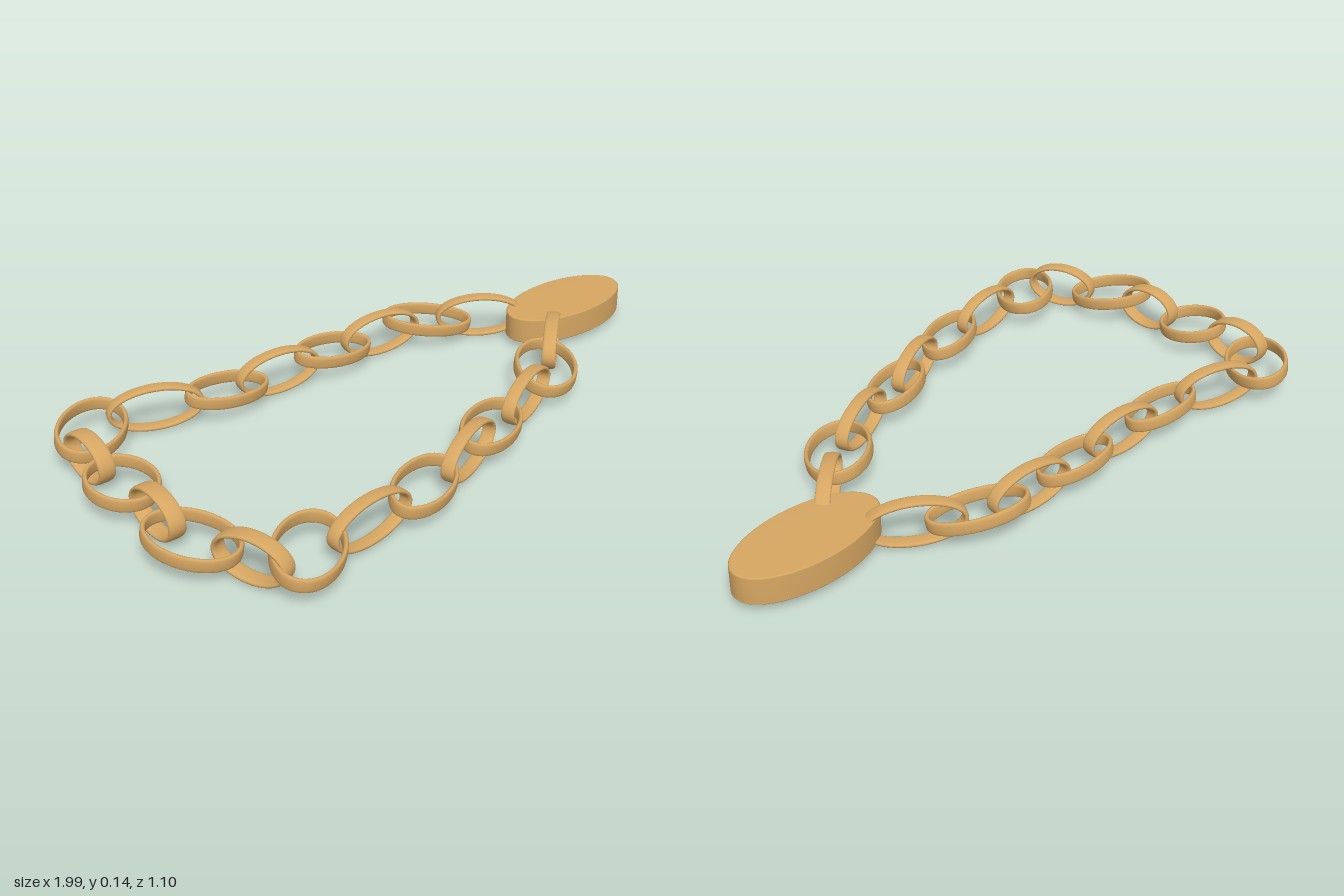
import * as THREE from 'three';
import { ParametricGeometry } from 'three/addons/geometries/ParametricGeometry.js';

const MID = 0.07; // height of the chain's centre line
const THICK = 0.007; // half thickness of the link band

// Upright links: x, z, angle in degrees (from +x towards +z), half length, half band width
const UPRIGHT = [
  [-0.604, -0.423, 20, 0.142, 0.02],
  [-0.207, -0.372, 5, 0.14, 0.02],
  [0.188, -0.37, 6, 0.14, 0.02],
  [0.514, -0.259, 34, 0.143, 0.021],
  [0.563, 0.019, -41, 0.143, 0.021],
  [0.259, 0.217, -22.5, 0.142, 0.02],
  [-0.077, 0.335, -22.5, 0.142, 0.02],
  [-0.493, 0.42, -7, 0.14, 0.02],
  [-0.813, 0.361, 71, 0.114, 0.024],
  [-0.884, 0.04, 90, 0.103, 0.025],
  [-0.884, -0.307, 90, 0.103, 0.025],
];

// Lying links: x, z, angle in degrees, half length, half breadth
const LYING = [
  [-0.807, -0.431, -42, 0.146, 0.096],
  [-0.39, -0.375, 5, 0.134, 0.073],
  [0.002, -0.374, 5, 0.133, 0.074],
  [0.361, -0.342, 30, 0.145, 0.08],
  [0.422, 0.134, -45, 0.149, 0.097],
  [0.056, 0.282, -25, 0.142, 0.08],
  [-0.287, 0.39, -25, 0.142, 0.08],
  [-0.69, 0.424, -42, 0.147, 0.096],
  [-0.884, 0.201, 60, 0.135, 0.101],
  [-0.883, -0.136, 90, 0.11, 0.101],
];

// Oval ring of flat band in the XZ plane, outer half axes a and b, band half width h
function linkGeometry(a, b, h) {
  const soft = (v) => Math.sign(v) * Math.abs(v) ** 0.65;
  return new ParametricGeometry((u, v, p) => {
    const t = u * Math.PI * 2;
    const f = -v * Math.PI * 2;
    const off = THICK * (soft(Math.cos(f)) - 1);
    p.set((a + off) * Math.cos(t), h * soft(Math.sin(f)), (b + off) * Math.sin(t));
  }, 48, 16);
}

export function createModel() {
  const model = new THREE.Group();
  model.name = 'chainBracelet';
  const gold = new THREE.MeshStandardMaterial({ color: 0xd6a662 });

  const up = new THREE.Vector3(0, 1, 0);
  const upright = new THREE.Quaternion().setFromAxisAngle(new THREE.Vector3(1, 0, 0), Math.PI / 2);
  const tilt = new THREE.Quaternion().setFromUnitVectors(up, new THREE.Vector3(0.08, 1, 0.13).normalize());
  const yaw = (deg) => new THREE.Quaternion().setFromAxisAngle(up, -THREE.MathUtils.degToRad(deg));

  const add = (name, geometry, x, y, z) => {
    const mesh = new THREE.Mesh(geometry, gold);
    mesh.name = name;
    mesh.position.set(x, y, z);
    model.add(mesh);
    return mesh;
  };

  // Links standing on edge
  UPRIGHT.forEach(([x, z, deg, a, h], i) => {
    const link = add(`uprightLink${i + 1}`, linkGeometry(a, 0.07, h), x, MID, z);
    link.quaternion.copy(yaw(deg)).multiply(upright);
  });

  // Links lying nearly flat, with a slight common tilt
  LYING.forEach(([x, z, deg, a, b], i) => {
    const link = add(`lyingLink${i + 1}`, linkGeometry(a, b, 0.02), x, MID, z);
    link.quaternion.copy(tilt).multiply(yaw(deg));
  });

  // Oval medallion with a softly shaded rim
  const profile = [[0, -0.041], [0.159, -0.041], [0.163, -0.04], [0.165, -0.037],
    [0.165, 0.037], [0.163, 0.04], [0.159, 0.041], [0, 0.041]].map(([r, y]) => new THREE.Vector2(r, y));
  const medallion = add('medallion', new THREE.LatheGeometry(profile, 64), 0.767, 0.062, -0.128);
  medallion.scale.set(1.406, 1, 0.715);

  return model;
}
